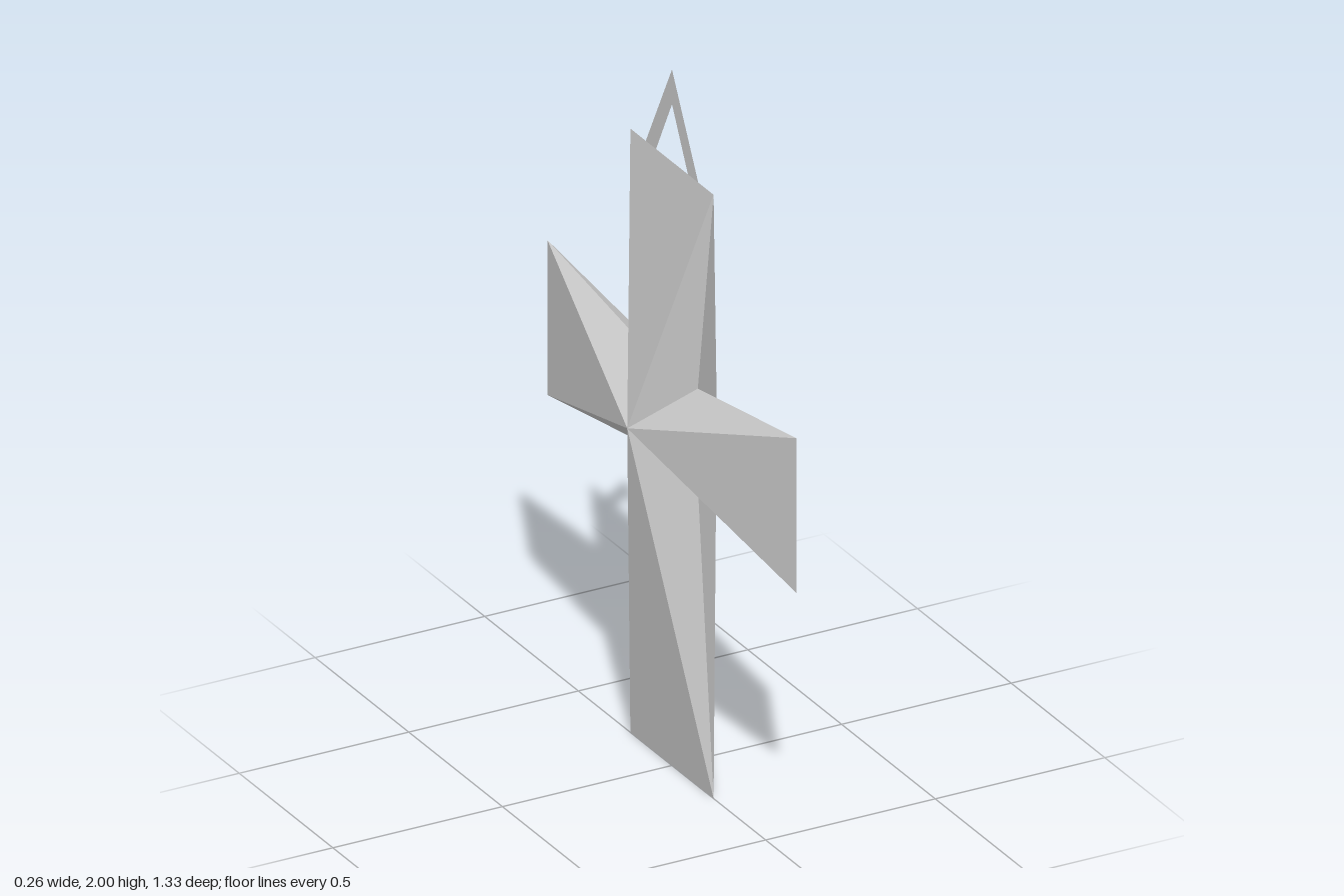
import * as THREE from 'three';

const material = new THREE.MeshStandardMaterial({ color: 0xcccccc, flatShading: true, side: THREE.DoubleSide });

// Faceted body: a flat outline joined to a raised centre point on each side
function facetedBody(outline, centreY, halfDepth) {
  const positions = [];
  outline.forEach(([z, y], i) => {
    const [nextZ, nextY] = outline[(i + 1) % outline.length];
    positions.push(halfDepth, centreY, 0, 0, y, z, 0, nextY, nextZ);
    positions.push(-halfDepth, centreY, 0, 0, nextY, nextZ, 0, y, z);
  });
  const geometry = new THREE.BufferGeometry();
  geometry.setAttribute('position', new THREE.Float32BufferAttribute(positions, 3));
  geometry.computeVertexNormals();
  return geometry;
}

export function createModel() {
  const group = new THREE.Group();
  group.name = 'crossPendant';

  // Half outline of the flared cross as [z, y], mirrored for the other half
  const half = [[0.222, 1.735], [0.138, 1.142], [0.665, 1.225], [0.665, 0.78], [0.138, 0.863], [0.222, 0]];
  const mirrored = half.map(([z, y]) => [-z, y]).reverse();
  const body = new THREE.Mesh(facetedBody([...half, ...mirrored], 1, 0.132), material);
  body.name = 'crossBody';
  group.add(body);

  // Flat hanging loop standing on the top arm
  const loopShape = new THREE.Shape([
    [-0.14, 1.735], [-0.085, 1.735], [0, 1.9], [0.085, 1.735], [0.14, 1.735], [0, 2],
  ].map(([x, y]) => new THREE.Vector2(x, y)));
  const loop = new THREE.Mesh(new THREE.ShapeGeometry(loopShape), material);
  loop.rotation.y = Math.PI / 2;
  loop.name = 'hangingLoop';
  group.add(loop);

  return group;
}
